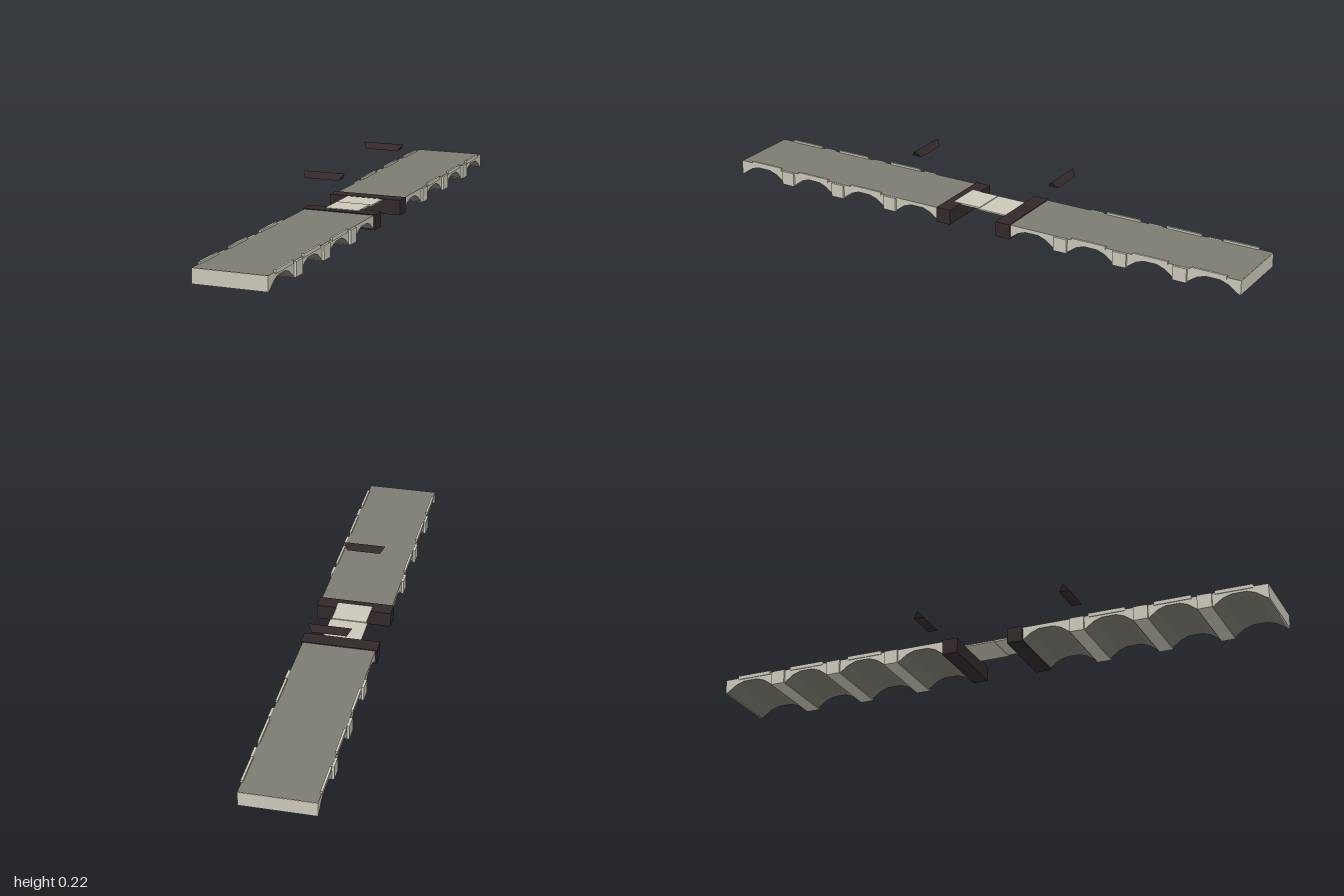
import * as THREE from 'three';

const stone = new THREE.MeshStandardMaterial({ color: 0xcbc7b8 });
stone.name = 'pale stone';
const paving = new THREE.MeshStandardMaterial({ color: 0x7d7c71 });
paving.name = 'grey paving';
const timber = new THREE.MeshStandardMaterial({ color: 0x32282a });
timber.name = 'dark timber';

const HALF = 1.005;   // half length of the bridge
const W = 0.128;      // half width of the deck
const TOP = 0.051;    // deck height
const PIERS = [0.345, 0.57, 0.79];

function box(name, material, x0, x1, y0, y1, z0, z1) {
  const g = new THREE.BoxGeometry(x1 - x0, y1 - y0, z1 - z0);
  g.translate((x0 + x1) / 2, (y0 + y1) / 2, (z0 + z1) / 2);
  const mesh = new THREE.Mesh(g, material);
  mesh.name = name;
  return mesh;
}

// Deck with arched underside: stone side walls, grey top and vaults
function archedDeck() {
  const s = new THREE.Shape();
  s.moveTo(0.12, TOP);
  s.lineTo(0.12, 0.002);
  const stops = [0.12, ...PIERS, HALF];
  for (let i = 0; i < stops.length - 1; i++) {
    const a = stops[i] + 0.024;
    const b = stops[i + 1] - (i === stops.length - 2 ? 0.008 : 0.024);
    const r = (b - a) * 0.36;
    s.lineTo(a, 0.002);
    s.lineTo(a + r * 0.55, 0.027);
    s.lineTo(a + r, 0.037);
    s.lineTo(b - r, 0.037);
    s.lineTo(b - r * 0.55, 0.027);
    s.lineTo(b, 0.002);
  }
  s.lineTo(HALF - 0.004, 0.002);
  s.lineTo(HALF - 0.001, TOP);
  const g = new THREE.ExtrudeGeometry(s, { depth: 2 * W, bevelEnabled: false });
  g.translate(0, 0, -W);
  const mesh = new THREE.Mesh(g, [stone, paving]);
  mesh.name = 'archedDeck';
  return mesh;
}

// Floating roof wedge: triangular section with a ridge longer than its base
function roofWedge() {
  const g = new THREE.CylinderGeometry(1, 1, 1, 3, 1).toNonIndexed();
  const p = g.attributes.position;
  for (let i = 0; i < p.count; i++) {
    const end = Math.sign(p.getY(i));
    const ridge = p.getZ(i) > 0.9;
    const mid = Math.hypot(p.getX(i), p.getZ(i)) < 0.1;
    const side = Math.sign(p.getX(i));
    if (mid) p.setXYZ(i, 0, 0.202, -end * 0.065);
    else if (ridge) p.setXYZ(i, 0, 0.216, -end * 0.075);
    else p.setXYZ(i, side * 0.019, 0.195, -end * 0.06);
  }
  g.computeVertexNormals();
  const mesh = new THREE.Mesh(g, timber);
  mesh.name = 'roofWedge';
  mesh.position.x = 0.275;
  return mesh;
}

function bridgeHalf() {
  const half = new THREE.Group();
  half.add(archedDeck());
  // Cross ribs whose ends stand slightly proud as piers
  for (const x of PIERS) {
    half.add(box('pierRib', stone, x - 0.025, x + 0.025, 0, 0.05, -W - 0.008, W + 0.008));
  }
  // Low broken parapets along both edges
  for (const x of [0.45, 0.68, 0.89]) {
    for (const s of [-1, 1]) {
      const z = s * (W - 0.001);
      half.add(box('parapet', stone, x - 0.065, x + 0.065, 0.045, 0.058, z - 0.004, z + 0.004));
    }
  }
  half.add(box('endWall', stone, HALF - 0.005, HALF, 0, TOP - 0.001, -W, W));
  half.add(box('gateBlock', timber, 0.092, 0.148, 0, 0.054, -0.134, 0.134));
  half.add(roofWedge());
  return half;
}

export function createModel() {
  const model = new THREE.Group();
  model.name = 'bridge';
  const left = bridgeHalf();
  left.name = 'leftHalf';
  const right = bridgeHalf();
  right.name = 'rightHalf';
  right.rotation.y = Math.PI;
  model.add(left, right);

  // Thin slabs joining the two halves
  model.add(box('linkSlab', stone, -0.12, -0.016, 0.05, 0.056, -0.062, 0.062));
  model.add(box('linkSlab', stone, -0.016, 0.093, 0.048, 0.053, -0.067, 0.067));

  const root = new THREE.Group();
  model.rotation.y = 0.293;
  root.add(model);
  return root;
}
